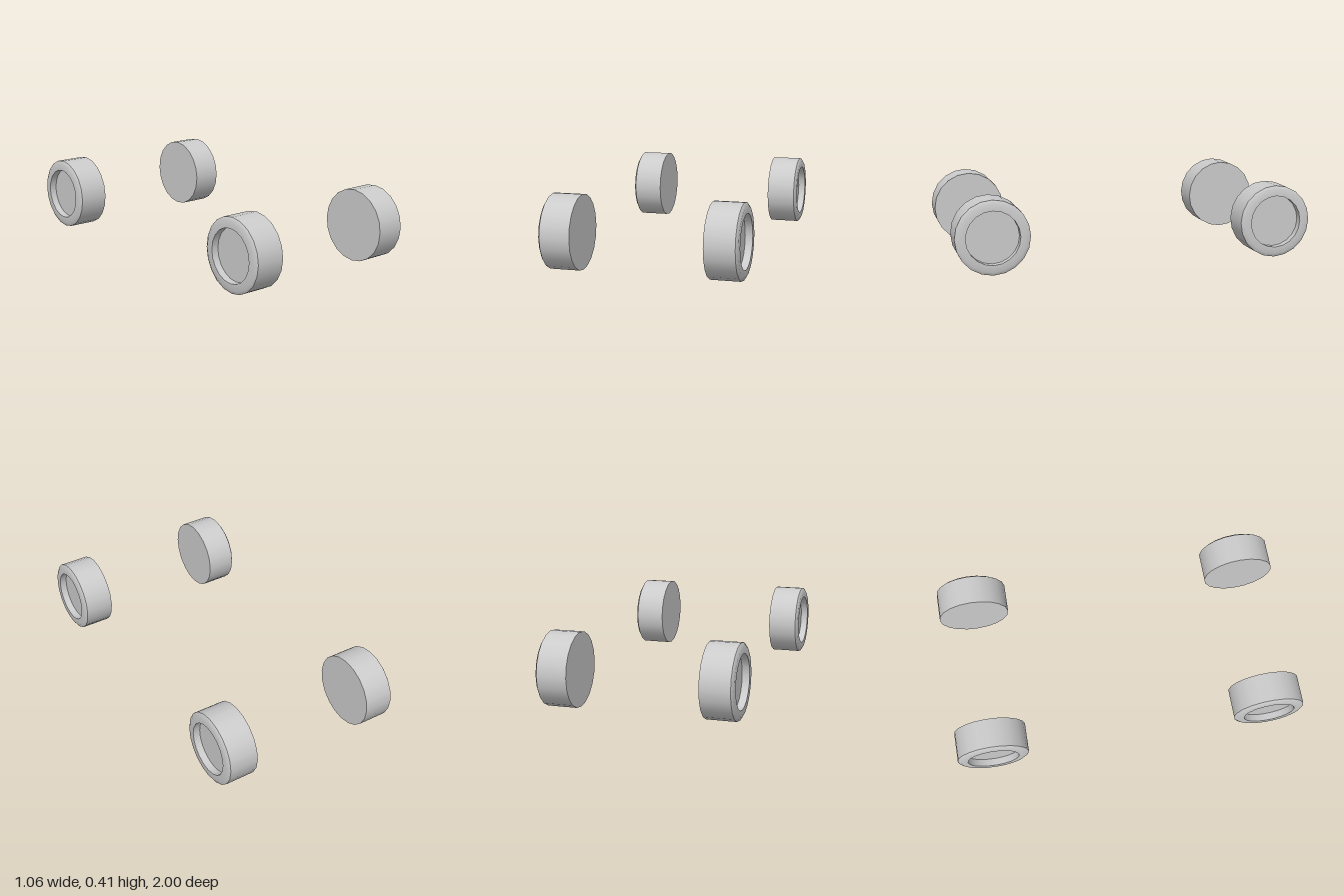
import * as THREE from 'three';
import { mergeGeometries } from 'three/addons/utils/BufferGeometryUtils.js';

const SIDES = 20;
const RADIUS = 0.203;
const RIM = 0.146; // radius of the hub recess
const INNER = 0.353; // distance of the inner face from the centre line
const WIDTH = 0.176;
const DEPTH = 0.04; // depth of the hub recess

// Profile strips [radius, distance along axle]; normals are smooth within each strip
const strips = {
  tyre: [
    [[0, 0], [RADIUS, 0]], // flat inner face
    [[RADIUS, 0], [RADIUS, WIDTH - 0.012]], // tread
    [[RADIUS, WIDTH - 0.012], [0.184, WIDTH], [RIM, WIDTH]], // shoulder and outer face
  ],
  hub: [
    [[RIM, WIDTH], [RIM, WIDTH - DEPTH]], // recess wall
    [[RIM, WIDTH - DEPTH], [0, WIDTH - DEPTH]], // recess floor
  ],
};

function turned(profiles) {
  const parts = profiles.map((profile) =>
    new THREE.LatheGeometry(profile.map(([r, h]) => new THREE.Vector2(r, h)), SIDES));
  // Lay the axle along +x
  return mergeGeometries(parts).rotateZ(-Math.PI / 2);
}

export function createModel() {
  const model = new THREE.Group();
  const material = new THREE.MeshStandardMaterial({ color: 0xcccccc });
  const tyreGeometry = turned(strips.tyre);
  const hubGeometry = turned(strips.hub);

  // Four wheels, recessed hubs facing outward
  for (const [end, z] of [['front', 0.797], ['back', -0.797]]) {
    for (const [side, s] of [['Left', 1], ['Right', -1]]) {
      const wheel = new THREE.Group();
      wheel.name = `${end}${side}Wheel`;
      const tyre = new THREE.Mesh(tyreGeometry, material);
      tyre.name = 'tyre';
      const hub = new THREE.Mesh(hubGeometry, material);
      hub.name = 'hub';
      wheel.add(tyre, hub);
      wheel.position.set(s * INNER, RADIUS, z);
      if (s < 0) wheel.rotation.y = Math.PI;
      model.add(wheel);
    }
  }
  return model;
}
